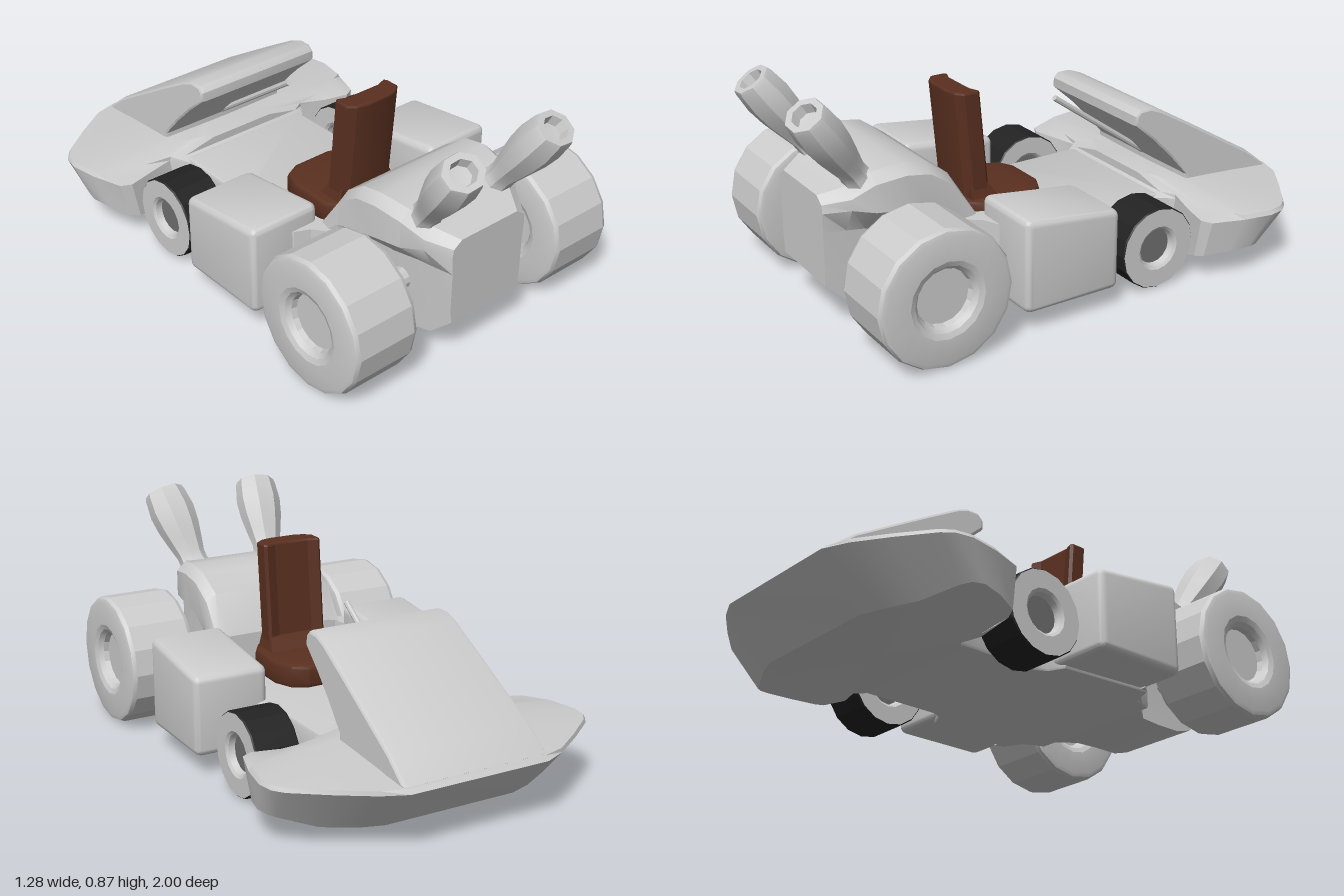
import * as THREE from 'three';
import { toCreasedNormals } from 'three/addons/utils/BufferGeometryUtils.js';
import { RoundedBoxGeometry } from 'three/addons/geometries/RoundedBoxGeometry.js';

const grey = new THREE.MeshStandardMaterial({ color: 0xcccccc });
const brown = new THREE.MeshStandardMaterial({ color: 0x5a3020 });
const black = new THREE.MeshStandardMaterial({ color: 0x222222 });
const hubGrey = new THREE.MeshStandardMaterial({ color: 0x6e6e6e });

function part(group, name, geometry, material = grey, crease = 0.5) {
  const mesh = new THREE.Mesh(toCreasedNormals(geometry, crease), material);
  mesh.name = name;
  group.add(mesh);
  return mesh;
}

// Half outline (x >= 0) completed with its mirror image
const mirrored = (half) => [...half, ...half.slice().reverse().map(([x, v]) => [-x, v])];

// Closed solid through a list of rings, wound so that faces point outwards
function loft(rings) {
  const n = rings[0].length;
  const pos = rings.flat(2);
  const index = [];
  for (let r = 0; r < rings.length - 1; r++) {
    for (let i = 0; i < n; i++) {
      const a = r * n + i, b = r * n + (i + 1) % n;
      index.push(a, b, b + n, a, b + n, a + n);
    }
  }
  [0, rings.length - 1].forEach((r, end) => {
    const c = pos.length / 3;
    for (let k = 0; k < 3; k++) pos.push(rings[r].reduce((s, p) => s + p[k], 0) / n);
    for (let i = 0; i < n; i++) {
      const a = r * n + i, b = r * n + (i + 1) % n;
      index.push(c, ...(end ? [a, b] : [b, a]));
    }
  });
  const v = (i) => new THREE.Vector3().fromArray(pos, i * 3);
  let volume = 0;
  for (let i = 0; i < index.length; i += 3) {
    volume += v(index[i]).dot(v(index[i + 1]).cross(v(index[i + 2])));
  }
  if (volume < 0) index.reverse();
  const g = new THREE.BufferGeometry();
  g.setAttribute('position', new THREE.Float32BufferAttribute(pos, 3));
  g.setIndex(index);
  return g;
}

// Moves every vertex by a rule
function reshape(geometry, rule) {
  const p = geometry.attributes.position;
  for (let i = 0; i < p.count; i++) p.setXYZ(i, ...rule(p.getX(i), p.getY(i), p.getZ(i)));
  return geometry;
}

const toShape = (pts) => new THREE.Shape(pts.map(([x, y]) => new THREE.Vector2(x, y)));

// Plan outline in x, z raised from y0 to y1
function slab(pts, y0, y1, bevel = 0.012) {
  return new THREE.ExtrudeGeometry(toShape(pts), {
    depth: y1 - y0 - 2 * bevel, bevelThickness: bevel, bevelSize: bevel, bevelOffset: -bevel, bevelSegments: 2,
  }).rotateX(Math.PI / 2).translate(0, y1 - bevel, 0);
}

// Profile of radius, offset points turned around the x axis
function turned(profile, sides) {
  return new THREE.LatheGeometry(profile.map(([r, y]) => new THREE.Vector2(r, y)), sides).rotateZ(-Math.PI / 2);
}

const bothSides = (half) => [...half.map(([r, y]) => [r, -y]), ...half.slice().reverse()];

function rod(from, to, radius, sides) {
  const a = new THREE.Vector3(...from), b = new THREE.Vector3(...to);
  const d = b.clone().sub(a);
  const q = new THREE.Quaternion().setFromUnitVectors(new THREE.Vector3(0, 1, 0), d.clone().normalize());
  return new THREE.CylinderGeometry(radius, radius, d.length(), sides)
    .applyQuaternion(q).translate(...a.add(b).multiplyScalar(0.5).toArray());
}

export function createModel() {
  const kart = new THREE.Group();
  kart.name = 'kart';

  // Floor pan, widening between the side pods
  part(kart, 'floor', slab(mirrored([
    [0.28, -0.45], [0.28, -0.11], [0.3, -0.07], [0.36, -0.04], [0.39, 0.33], [0.31, 0.37], [0.28, 0.45],
  ]), 0.068, 0.25));

  // Engine housing: narrow below, bulging above, tapered to the back
  const sections = [
    [0.35, [[0.28, 0.08], [0.28, 0.2], [0.28, 0.25], [0.28, 0.32], [0.27, 0.36], [0.22, 0.37]]],
    [0.44, [[0.25, 0.08], [0.24, 0.2], [0.25, 0.3], [0.28, 0.4], [0.27, 0.49], [0.23, 0.52]]],
    [0.53, [[0.18, 0.08], [0.17, 0.2], [0.18, 0.34], [0.275, 0.42], [0.275, 0.55], [0.24, 0.585]]],
    [0.62, [[0.17, 0.08], [0.17, 0.2], [0.175, 0.34], [0.275, 0.44], [0.275, 0.565], [0.24, 0.6]]],
    [0.73, [[0.17, 0.08], [0.17, 0.2], [0.17, 0.36], [0.26, 0.45], [0.26, 0.55], [0.22, 0.585]]],
    [0.8, [[0.17, 0.1], [0.17, 0.2], [0.17, 0.37], [0.22, 0.46], [0.22, 0.5], [0.18, 0.535]]],
    [0.885, [[0.16, 0.18], [0.165, 0.25], [0.165, 0.38], [0.17, 0.45], [0.165, 0.48], [0.13, 0.505]]],
  ];
  part(kart, 'engineHousing', loft(sections.map(([z, half]) => mirrored(half).map(([x, y]) => [x, y, z]))));

  // Front bumper with swept wings: flat underside, wing edge, rim, crown and raised middle
  const bumper = mirrored([
    [0.27, -1], [0.36, -0.96], [0.48, -0.88], [0.6, -0.79], [0.63, -0.75], [0.64, -0.69], [0.62, -0.58],
    [0.58, -0.46], [0.54, -0.44], [0.44, -0.465], [0.33, -0.49], [0.28, -0.42],
  ]);
  const below = (z) => -0.43 + (z + 0.43) * 0.71;
  const above = (x, z) => Math.max(-0.985, Math.min(z, -0.46 - 0.4 * Math.max(0, Math.abs(x) - 0.33)));
  part(kart, 'frontBumper', loft([
    bumper.map(([x, z]) => [x * 0.7, 0.065, below(z)]),
    bumper.map(([x, z]) => [x * 0.95, 0.065 + 0.28 * Math.max(0, Math.abs(x) - 0.46), below(z)]),
    bumper.map(([x, z]) => [x, 0.238, z]),
    bumper.map(([x, z]) => [x * 0.985, 0.253, above(x, z)]),
    bumper.map(([x, z]) => [x * 0.5, 0.253 + 0.03 * Math.min(1, (z + 1) / 0.4), above(x, z)]),
  ]));

  // Sloping nose cowl, profile drawn as forward distance and height
  const cowl = toShape([
    [0.58, 0.2], [0.88, 0.2], [0.975, 0.255], [0.88, 0.33], [0.6, 0.495], [0.46, 0.575], [0.41, 0.595],
    [0.36, 0.595], [0.34, 0.575], [0.34, 0.54], [0.42, 0.47], [0.5, 0.39], [0.58, 0.3],
  ]);
  part(kart, 'noseCowl', reshape(new THREE.ExtrudeGeometry(cowl, {
    depth: 0.51, bevelThickness: 0.015, bevelSize: 0.01, bevelOffset: -0.008, bevelSegments: 2,
  }).rotateY(Math.PI / 2).translate(-0.255, 0, 0), (x, y, z) => [x * (1.05 - (y - 0.25) * 0.14), y, z]));

  part(kart, 'steeringColumn', rod([0, 0.605, -0.16], [0, 0.28, -0.62], 0.011, 8));

  // Seat: cushion, wedge and slightly reclined back with a rounded rear
  part(kart, 'seatCushion', slab(mirrored([
    [0.08, -0.03], [0.14, 0], [0.17, 0.08], [0.165, 0.24], [0.12, 0.31], [0.05, 0.33],
  ]), 0.25, 0.34, 0.015), brown);
  part(kart, 'seatWedge', loft([
    [[0.13, 0.335, 0.17], [0.13, 0.335, 0.28], [-0.13, 0.335, 0.28], [-0.13, 0.335, 0.17]],
    [[0.115, 0.39, 0.205], [0.115, 0.39, 0.28], [-0.115, 0.39, 0.28], [-0.115, 0.39, 0.205]],
  ]), brown);
  const back = slab(mirrored([
    [0.07, 0.215], [0.11, 0.2], [0.12, 0.21], [0.12, 0.265], [0.09, 0.29], [0.05, 0.3],
  ]), 0.3, 0.745, 0.008);
  part(kart, 'seatBack', reshape(back, (x, y, z) => [x, y, z + (y - 0.35) * 0.09]), brown, 0.35);

  const rearTyre = bothSides([
    [0, 0.09], [0.1, 0.09], [0.105, 0.11], [0.12, 0.127], [0.14, 0.135], [0.228, 0.135], [0.243, 0.13], [0.25, 0.115],
  ]);
  // The front wheel has a dark tread between grey side walls
  const frontTread = bothSides([[0.152, 0.085], [0.156, 0.08]]);
  const frontWall = [[0.152, 0.085], [0.085, 0.085], [0.074, 0.077], [0.066, 0.05]];

  for (const s of [1, -1]) {
    const side = s > 0 ? 'left' : 'right';

    // Side pod with its top falling towards the nose
    const pod = new RoundedBoxGeometry(0.29, 0.35, 0.39, 3, 0.03).translate(s * 0.415, 0.255, 0.135);
    part(kart, side + 'SidePod', reshape(pod, (x, y, z) => [x, y + (z - 0.31) * 0.13 * (y - 0.08) / 0.35, z]));

    // Fairing that blends the pod into the engine housing
    part(kart, side + 'PodFairing', loft([0.075, 0.36].map((y) => [
      [0.272, 0.3], [0.41, 0.3], [0.385, 0.335], [0.33, 0.36], [0.3, 0.4], [0.275, 0.45], [0.23, 0.45], [0.25, 0.36],
    ].map(([x, z]) => [s * x, y, z]))));

    // Rear wheel and axle
    part(kart, side + 'RearWheel', turned(rearTyre, 16), grey, 0.36).position.set(s * 0.466, 0.252, 0.657);
    part(kart, side + 'RearAxle', rod([s * 0.15, 0.25, 0.657], [s * 0.4, 0.25, 0.657], 0.04, 12));

    // Front wheel and axle
    const wheel = new THREE.Group();
    wheel.name = side + 'FrontWheel';
    wheel.position.set(s * 0.425, 0.16, -0.27);
    part(wheel, 'tread', turned(frontTread, 16), black, 0.36);
    part(wheel, 'leftWall', turned(frontWall, 16));
    part(wheel, 'rightWall', turned(frontWall, 16).rotateY(Math.PI));
    part(wheel, 'hub', new THREE.CylinderGeometry(0.068, 0.068, 0.11, 16).rotateZ(Math.PI / 2), hubGrey);
    kart.add(wheel);
    part(kart, side + 'FrontAxle', rod([s * 0.24, 0.16, -0.28], [s * 0.4, 0.16, -0.28], 0.025, 10));

    // Flared exhaust with a hollow end, leaning back and outwards
    const pipe = new THREE.LatheGeometry([
      [0.07, -0.07], [0.055, -0.02], [0.055, 0.01], [0.068, 0.07], [0.082, 0.14], [0.088, 0.21],
      [0.08, 0.285], [0.075, 0.3], [0.05, 0.3], [0.042, 0.265], [0, 0.26],
    ].map(([r, y]) => new THREE.Vector2(r, y)), 8, Math.PI / 8).scale(1.06, 1, 0.92);
    const lean = new THREE.Vector3(s * 0.04, 0.25, 0.18).normalize();
    pipe.applyQuaternion(new THREE.Quaternion().setFromUnitVectors(new THREE.Vector3(0, 1, 0), lean));
    part(kart, side + 'Exhaust', pipe, grey, 0.6).position.set(s * 0.172, 0.585, 0.775);
  }
  return kart;
}
